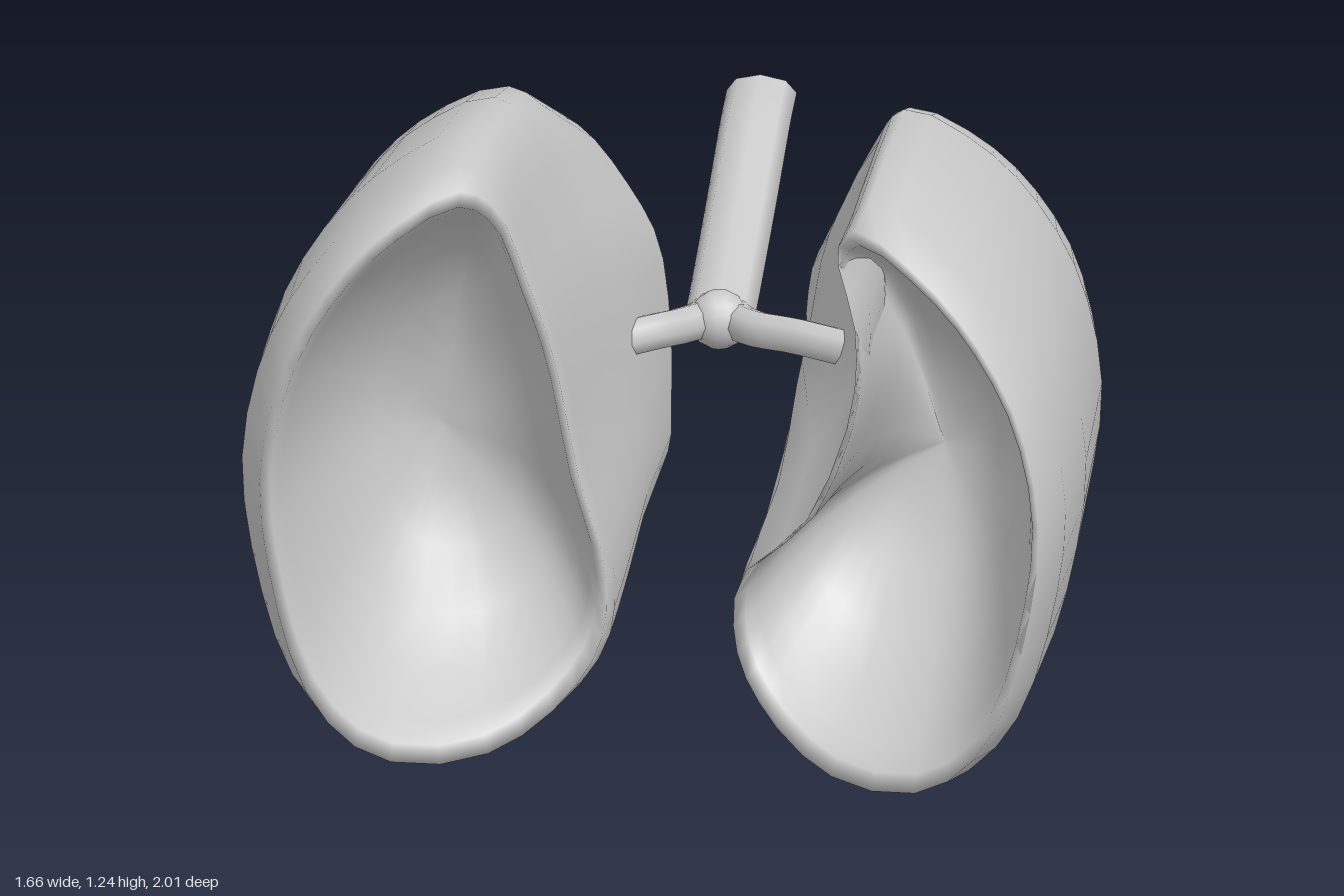
import * as THREE from 'three';

const material = new THREE.MeshStandardMaterial({ color: 0xcccccc, side: THREE.DoubleSide });

// Lung cross-section in a unit box: u runs from the medial to the outer side, v upward.
// The third value is u where the medial face is fully hollowed.
const SECTION = [
  [0.01, 0.16], [0.11, 0.07], [0.33, 0], [0.67, 0.03], [0.86, 0.15], [0.96, 0.33],
  [1, 0.52], [0.94, 0.7], [0.81, 0.84], [0.64, 0.94], [0.41, 1],
  [0.28, 0.95, 0.35], [0.14, 0.82, 0.41], [0.04, 0.68, 0.4], [0, 0.45, 0.25], [0, 0.28, 0.01],
];

// Stations from back to front: z, forward sweep of the outer side, medial x, outer x, bottom, top, hollow
const LEFT = [
  [-0.76, 0, 0.19, 0.26, 0.46, 0.54, 0],
  [-0.7, 0, 0.15, 0.38, 0.4, 0.62, 0],
  [-0.55, 0, 0.14, 0.57, 0.27, 0.77, 0],
  [-0.35, 0, 0.14, 0.68, 0.17, 0.97, 0.2],
  [-0.1, 0, 0.14, 0.77, 0.08, 1.11, 0.6],
  [0.15, 0, 0.14, 0.81, 0.03, 1.2, 0.9],
  [0.4, 0.2, 0.13, 0.83, 0.01, 1.23, 1],
  [0.55, 0.32, 0.13, 0.82, 0.01, 1.225, 1],
  [0.62, 0.37, 0.13, 0.78, 0.03, 1.2, 1],
];
const RIGHT = [
  [-0.72, 0, 0.19, 0.27, 0.46, 0.54, 0],
  [-0.66, 0, 0.15, 0.4, 0.38, 0.65, 0],
  [-0.5, 0, 0.13, 0.58, 0.25, 0.82, 0],
  [-0.3, 0, 0.1, 0.71, 0.15, 1, 0],
  [-0.05, 0, 0.12, 0.79, 0.07, 1.14, 0.15],
  [0.2, 0, 0.12, 0.79, 0.03, 1.21, 0.25],
  [0.38, 0.18, 0.12, 0.83, 0.01, 1.25, 0.3],
  [0.52, 0.28, 0.12, 0.83, 0.01, 1.25, 0.3],
  [0.58, 0.35, 0.13, 0.78, 0.03, 1.23, 0.3],
];

// Hollow underside, from the lip inward: scale about the centre, depth fraction
const BOWL = [[0.94, 0.04], [0.89, 0.18], [0.8, 0.45], [0.65, 0.72], [0.45, 0.9], [0.22, 0.98], [0.02, 1]];
const SIDES = 40;

function sectionRing([z, sweep, medial, outer, bottom, top, hollow], side) {
  const points = SECTION.map(([u, v, deep = u]) => new THREE.Vector3(u + (deep - u) * hollow, v, 0));
  const curve = new THREE.CatmullRomCurve3(points, true);
  return Array.from({ length: SIDES }, (_, i) => {
    const p = curve.getPoint(i / SIDES);
    return new THREE.Vector3(
      side * (medial + (outer - medial) * p.x),
      bottom + (top - bottom) * p.y,
      z + sweep * Math.sin(THREE.MathUtils.clamp(p.x, 0, 1) * Math.PI / 2));
  });
}

function lung(name, stations, side) {
  const rings = stations.map(s => sectionRing(s, side));
  const rim = rings[rings.length - 1];
  const floor = new THREE.Vector3(side * (side > 0 ? 0.52 : 0.48), 0.58, 0.36);
  for (const [scale, depth] of BOWL) {
    rings.push(rim.map(p => new THREE.Vector3(
      floor.x + (p.x - floor.x) * scale,
      floor.y + (p.y - floor.y) * scale,
      p.z + (floor.z - p.z) * depth)));
  }

  const positions = rings.flat().flatMap(p => p.toArray());
  const index = [];
  const face = (a, b, c) => index.push(...(side > 0 ? [a, b, c] : [a, c, b]));
  for (let r = 0; r < rings.length - 1; r++) {
    for (let i = 0; i < SIDES; i++) {
      const j = (i + 1) % SIDES;
      const a = r * SIDES + i, b = r * SIDES + j;
      face(a, b, a + SIDES);
      face(b, b + SIDES, a + SIDES);
    }
  }
  // Close the apex and the centre of the hollow
  const last = (rings.length - 1) * SIDES;
  const apex = positions.length / 3;
  const tip = rings[0].reduce((s, p) => s.add(p), new THREE.Vector3()).divideScalar(SIDES);
  positions.push(tip.x, tip.y, tip.z - 0.005, floor.x, floor.y, floor.z);
  for (let i = 0; i < SIDES; i++) {
    const j = (i + 1) % SIDES;
    face(apex, j, i);
    face(apex + 1, last + i, last + j);
  }

  const geometry = new THREE.BufferGeometry();
  geometry.setAttribute('position', new THREE.Float32BufferAttribute(positions, 3));
  geometry.setIndex(index);
  geometry.computeVertexNormals();
  const mesh = new THREE.Mesh(geometry, material);
  mesh.name = name;
  return mesh;
}

// Open tube through the given points, flattened vertically
function airway(name, path, radius, flatten = 1) {
  const curve = new THREE.CatmullRomCurve3(path.map(([x, y, z]) => new THREE.Vector3(x, y / flatten, z)));
  const mesh = new THREE.Mesh(new THREE.TubeGeometry(curve, 16, radius, 8), material);
  mesh.scale.y = flatten;
  mesh.name = name;
  return mesh;
}

export function createModel() {
  const model = new THREE.Group();
  model.name = 'lungs';
  model.add(lung('leftLung', LEFT, 1), lung('rightLung', RIGHT, -1));

  // Windpipe and its two branches
  model.add(airway('trachea', [[0, 0.79, -1], [0, 0.77, -0.9], [0, 0.69, -0.65], [0, 0.61, -0.37], [0, 0.59, -0.29]], 0.07, 0.65));
  model.add(airway('leftBronchus', [[0.02, 0.6, -0.36], [0.03, 0.585, -0.27], [0.08, 0.59, -0.2], [0.17, 0.6, -0.14], [0.3, 0.6, -0.07]], 0.038));
  model.add(airway('rightBronchus', [[-0.02, 0.6, -0.36], [-0.03, 0.585, -0.27], [-0.07, 0.59, -0.2], [-0.11, 0.6, -0.14], [-0.18, 0.6, -0.08]], 0.038));

  // Rounded fork where the branches meet
  const fork = new THREE.Mesh(new THREE.SphereGeometry(0.06, 12, 8), material);
  fork.position.set(0, 0.585, -0.26);
  fork.name = 'tracheaFork';
  model.add(fork);
  return model;
}
